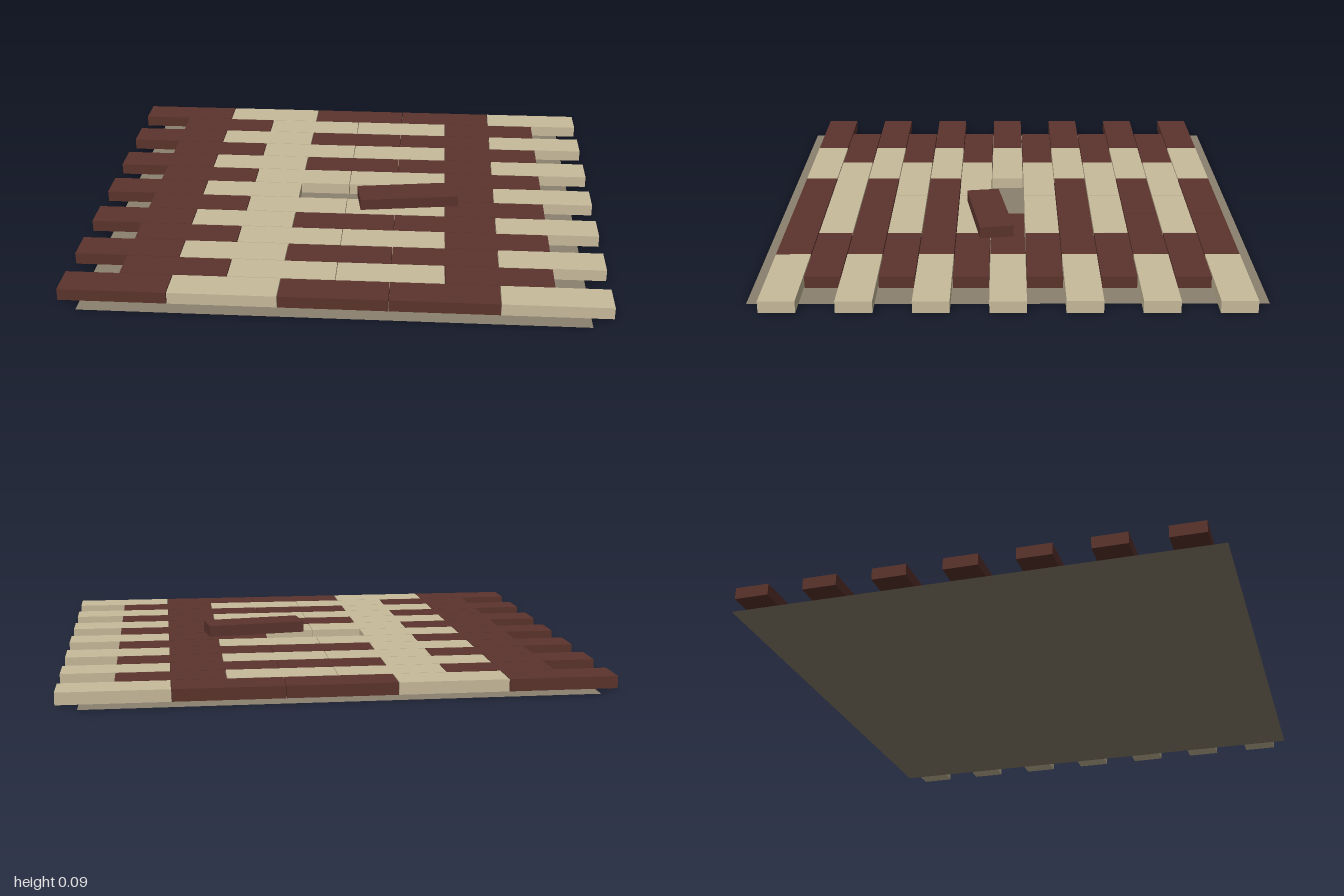
import * as THREE from 'three';

const BRICK = { length: 0.398, height: 0.045, depth: 0.13 };
const PITCH_X = 0.4005, PITCH_Z = 0.1333, ROWS = 13, BASE_GAP = 0.004;

function material(name, color) {
  const m = new THREE.MeshStandardMaterial({ color });
  m.name = name;
  return m;
}

export function createModel() {
  const group = new THREE.Group();
  group.name = 'brickPaving';

  const red = material('redBrown', 0x5c342d);
  const sand = material('sand', 0xc8bb9b);
  const mortar = material('mortar', 0x8c816e);
  mortar.side = THREE.DoubleSide;

  // Mortar bed: a flat sheet under the bricks
  const bed = new THREE.Mesh(new THREE.PlaneGeometry(1.84, 1.84), mortar);
  bed.name = 'mortarBed';
  bed.rotation.x = -Math.PI / 2;
  group.add(bed);

  const brickGeometry = new THREE.BoxGeometry(BRICK.length, BRICK.height, BRICK.depth);
  const addBrick = (name, mat, x, y, z) => {
    const brick = new THREE.Mesh(brickGeometry, mat);
    brick.name = name;
    brick.position.set(x, y, z);
    group.add(brick);
    return brick;
  };

  // Alternating rows of five and four bricks, with one brick lifted out
  const longRow = [red, sand, red, red, sand];
  const shortRow = [red, sand, sand, red];
  const middle = (ROWS - 1) / 2;
  const y = BASE_GAP + BRICK.height / 2;
  for (let r = 0; r < ROWS; r++) {
    const row = r % 2 ? shortRow : longRow;
    row.forEach((mat, i) => {
      if (r === middle && i === 2) return;
      addBrick(`brick_${r}_${i}`, mat, (i - (row.length - 1) / 2) * PITCH_X, y, (r - middle) * PITCH_Z);
    });
  }

  // The lifted brick lies askew on top
  addBrick('looseBrick', red, 0.247, y + BRICK.height, 0.072).rotation.y = 0.15;

  return group;
}
